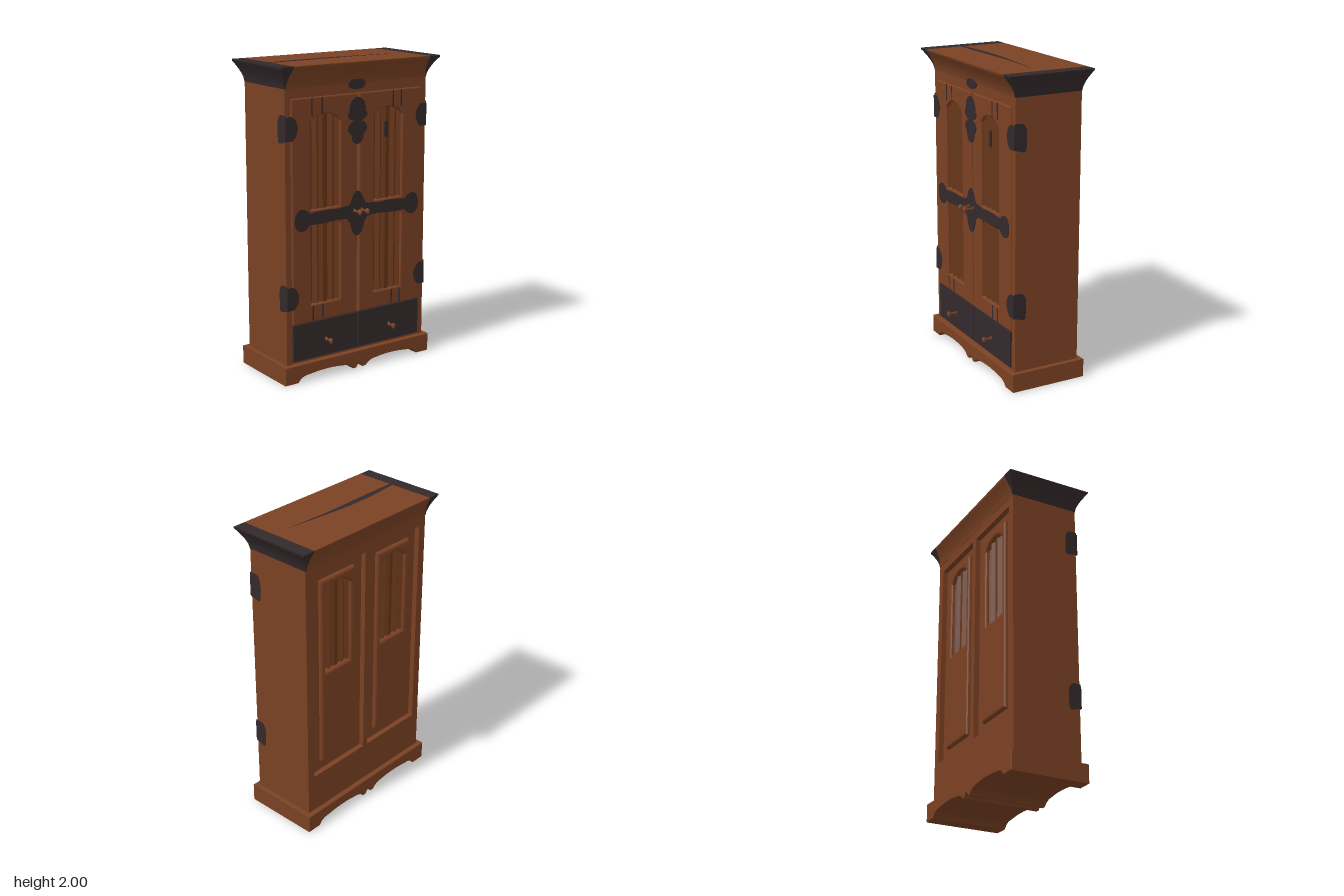
import * as THREE from 'three';

const mat = (name, color) => {
  const m = new THREE.MeshStandardMaterial({ color });
  m.name = name;
  return m;
};

export function createModel() {
  const wood = mat('brown wood', 0x7a4123);
  const iron = mat('dark iron', 0x33292b);
  const slat = mat('shaded wood', 0x683619);
  slat.side = THREE.DoubleSide;
  const model = new THREE.Group();

  const add = (name, geo, material, x = 0, y = 0, z = 0) => {
    const m = new THREE.Mesh(geo, material);
    m.name = name;
    m.position.set(x, y, z);
    model.add(m);
    return m;
  };
  // box given by its limits
  const box = (name, x0, x1, y0, y1, z0, z1, material = wood) =>
    add(name, new THREE.BoxGeometry(x1 - x0, y1 - y0, z1 - z0), material,
      (x0 + x1) / 2, (y0 + y1) / 2, (z0 + z1) / 2);
  // outline extruded between two z values, with an optional rounded edge
  const slab = (name, shape, z0, z1, material = wood, bevel = 0) =>
    add(name, new THREE.ExtrudeGeometry(shape, {
      depth: z1 - z0 - 2 * bevel, bevelEnabled: bevel > 0, bevelThickness: bevel,
      bevelSize: bevel, bevelOffset: -bevel, bevelSegments: 3, curveSegments: 16,
    }), material, 0, 0, z0 + bevel);
  const polygon = pts => new THREE.Shape(pts.map(p => new THREE.Vector2(...p)));
  const rect = (x0, x1, y0, y1) => polygon([[x0, y0], [x1, y0], [x1, y1], [x0, y1]]);
  const ellipse = (x, y, rx, ry) => new THREE.Shape().absellipse(x, y, rx, ry, 0, Math.PI * 2);

  // plinth with a scalloped lower edge
  const base = new THREE.Shape();
  base.moveTo(0.572, 0.12);
  base.lineTo(-0.572, 0.12);
  base.lineTo(-0.572, 0);
  base.lineTo(-0.475, 0);
  base.bezierCurveTo(-0.45, 0.035, -0.43, 0.04, -0.38, 0.042);
  base.bezierCurveTo(-0.3, 0.054, -0.2, 0.054, -0.14, 0.043);
  base.bezierCurveTo(-0.1, 0.042, -0.07, 0.03, -0.05, 0.004);
  base.lineTo(-0.025, 0.004);
  base.quadraticCurveTo(-0.012, 0.032, 0, 0.032);
  base.quadraticCurveTo(0.012, 0.032, 0.025, 0.004);
  base.lineTo(0.05, 0.004);
  base.bezierCurveTo(0.07, 0.03, 0.1, 0.042, 0.14, 0.043);
  base.bezierCurveTo(0.2, 0.054, 0.3, 0.054, 0.38, 0.042);
  base.bezierCurveTo(0.43, 0.04, 0.45, 0.035, 0.475, 0);
  base.lineTo(0.572, 0);
  slab('plinth', base, -0.284, 0.237, wood, 0.006);

  // carcass
  box('lowerCase', -0.535, 0.535, 0.11, 0.38, -0.25, 0.2);
  box('topBoard', -0.535, 0.535, 1.8, 1.87, -0.25, 0.205);
  box('backPost', -0.02, 0.02, 0.38, 1.8, -0.25, -0.19);
  for (const s of [-1, 1]) {
    const side = box('sideWall', 0.5, 0.54, 0.11, 1.87, -0.25, 0.205);
    side.position.x *= s;
    const stile = box('backStile', 0.485, 0.505, 0.38, 1.8, -0.25, -0.19);
    stile.position.x *= s;
  }

  // crown: flaring cross-sections, with iron-clad ends
  const rings = [0, 0.2, 0.4, 0.6, 0.8, 0.93, 1].map(t => {
    const f = t < 0.93 ? Math.pow(t / 0.93, 1.6) : 1;
    const w = 0.54 + 0.06 * f, zf = 0.207 + 0.068 * f, zb = -0.252 - 0.048 * f;
    const x = 0.535 - 0.02 * t, y = 1.86 + 0.14 * t;
    return [[w, zf], [x, zf], [-x, zf], [-w, zf], [-w, zb], [-x, zb], [x, zb], [w, zb]]
      .map(p => [p[0], y, p[1]]);
  });
  const sheet = (name, rows, material) => {
    const g = new THREE.BufferGeometry(), idx = [];
    g.setAttribute('position', new THREE.Float32BufferAttribute(rows.flat(2), 3));
    for (let i = 0; i < rows.length - 1; i++) {
      const a = 2 * i;
      idx.push(a, a + 1, a + 2, a + 1, a + 3, a + 2);
    }
    g.setIndex(idx);
    g.computeVertexNormals();
    add(name, g, material);
  };
  for (let i = 0; i < 8; i++) {
    const j = (i + 1) % 8;
    sheet('crownSide', rings.map(r => [r[j], r[i]]), i === 1 || i === 5 ? wood : iron);
  }
  const top = rings[rings.length - 1], low = rings[0];
  [[0, 7, 1, 6, iron], [1, 6, 2, 5, wood], [2, 5, 3, 4, iron]].forEach(([a, b, c, d, m]) =>
    sheet('crownTop', [[top[a], top[b]], [top[c], top[d]]], m));
  sheet('crownUnderside', [[low[7], low[0]], [low[4], low[3]]], wood);
  const streak = slab('topStreak', polygon([[-0.52, -0.025], [-0.3, -0.023], [0.1, -0.012],
    [0.4, -0.025], [0.1, 0.005], [-0.1, 0.02], [-0.25, 0.018], [-0.52, 0]]), 0, 0.002, iron);
  streak.rotation.x = -Math.PI / 2;
  streak.position.y = 1.999;

  // cut an arched upper and a square lower opening into a shape
  const cutOpenings = (shape, c) => {
    const w = 0.11;
    const up = new THREE.Path();
    up.moveTo(c - w, 1.1);
    up.lineTo(c + w, 1.1);
    up.lineTo(c + w, 1.64);
    up.bezierCurveTo(c + w * 0.6, 1.71, c - w * 0.6, 1.71, c - w, 1.64);
    up.closePath();
    const down = new THREE.Path();
    down.moveTo(c - w, 0.49);
    down.lineTo(c + w, 0.49);
    down.lineTo(c + w, 0.98);
    down.quadraticCurveTo(c + w, 1.01, c + w - 0.03, 1.01);
    down.lineTo(c - w + 0.03, 1.01);
    down.quadraticCurveTo(c - w, 1.01, c - w, 0.98);
    down.closePath();
    shape.holes.push(up, down);
    return shape;
  };
  // pleated infill behind the openings
  const pleats = (name, c, z) => {
    const g = new THREE.PlaneGeometry(0.26, 1.25, 11, 1).toNonIndexed();
    const p = g.attributes.position;
    const depth = [0, 0.7, 0.2, 1, 0.3, 0.8, 0.75, 0.1, 0.9, 0.3, 1, 0];
    for (let i = 0; i < p.count; i++) {
      const k = Math.round((p.getX(i) / 0.26 + 0.5) * 11);
      p.setZ(i, 0.03 * depth[k]);
    }
    g.computeVertexNormals();
    const m = add(name, g, slat, c, 1.09, z);
    if (z < 0) m.rotation.y = Math.PI;
  };

  // oval knob with a flange, pointing forward
  const knob = (x, y, length) => {
    const pts = [[0.014, 0], [0.014, 0.008], [0.008, 0.014], [0.008, length * 0.6],
      [0.018, length * 0.7], [0.021, length * 0.82], [0.015, length * 0.95], [0, length]];
    const g = new THREE.LatheGeometry(pts.map(p => new THREE.Vector2(...p)), 14);
    add('knob', g.rotateX(Math.PI / 2).scale(0.6, 1, 1), wood, x, y, 0.213);
  };

  for (const s of [-1, 1]) {
    // front door and its pleats
    const c = s < 0 ? -0.25 : 0.235;
    const [x0, x1] = [0.006 * s, 0.5 * s].sort((a, b) => a - b);
    slab('door', cutOpenings(rect(x0, x1, 0.38, 1.8), c), 0.17, 0.215, wood, 0.01);
    pleats('doorPleats', c, 0.175);

    // recessed back panel with a raised surround
    const b = s < 0 ? -0.258 : 0.25;
    slab('backPanel', cutOpenings(rect(x0, x1, 0.38, 1.8), b), -0.215, -0.18);
    slab('backSurround', cutOpenings(rect(b - 0.15, b + 0.15, 0.45, 1.74), b),
      -0.24, -0.19, wood, 0.02);
    pleats('backPleats', b, -0.195);

    const mid = s * 0.25;
    box('drawer', mid - 0.246, mid + 0.246, 0.138, 0.376, 0.19, 0.215, iron);
    knob(mid, 0.245, 0.07);
    knob(s * 0.029 - 0.006, 1.055, 0.085);

    // narrow grooves above and below the openings
    for (const x of s < 0 ? [-0.35, -0.275] : [0.27, 0.335])
      for (const [g0, g1] of [[1.69, 1.795], [0.385, 0.48]])
        box('groove', x - 0.005, x + 0.005, g0, g1, 0.212, 0.2165, iron);

    // corner hinge plates wrapping from front to side
    for (const y of [1.615, 0.55]) {
      const h = 0.088;
      const front = new THREE.Shape();
      front.moveTo(s * 0.541, y - h * 0.8);
      front.lineTo(s * 0.541, y + h * 0.85);
      front.lineTo(s * 0.5, y + h * 0.9);
      front.bezierCurveTo(s * 0.46, y + h * 0.7, s * 0.425, y - h * 0.1, s * 0.49, y - h * 0.8);
      slab('hingeFront', front, 0.21, 0.217, iron);
      const side = new THREE.Shape();
      side.moveTo(-0.212, y - h * 0.8);
      side.lineTo(-0.15, y - h);
      side.quadraticCurveTo(-0.13, y - h, -0.13, y - h * 0.6);
      side.lineTo(-0.13, y + h * 0.5);
      side.quadraticCurveTo(-0.14, y + h, -0.17, y + h);
      side.lineTo(-0.212, y + h);
      const plate = slab('hingeSide', side, 0, 0.004, iron);
      plate.rotation.y = Math.PI / 2;
      plate.position.set(s > 0 ? 0.538 : -0.542, 0, 0);
    }

    // strap with a spade end
    const strap = new THREE.Shape();
    strap.moveTo(0, 1.0);
    strap.lineTo(s * 0.16, 1.015);
    strap.quadraticCurveTo(s * 0.27, 1.0, s * 0.37, 1.01);
    strap.bezierCurveTo(s * 0.41, 0.95, s * 0.485, 0.97, s * 0.482, 1.045);
    strap.bezierCurveTo(s * 0.48, 1.13, s * 0.41, 1.13, s * 0.37, 1.08);
    strap.quadraticCurveTo(s * 0.27, 1.095, s * 0.16, 1.085);
    strap.lineTo(0, 1.1);
    slab('strap', strap, 0.212, 0.219, iron);
  }
  box('paneMark', 0.212, 0.238, 1.5, 1.6, 0.2, 0.206, iron);

  // iron escutcheons along the meeting edge
  slab('lockPlate', ellipse(-0.01, 1.035, 0.06, 0.145), 0.212, 0.22, iron);
  slab('lockPlateWide', ellipse(-0.01, 1.045, 0.085, 0.085), 0.212, 0.2205, iron);
  slab('upperPlateTop', ellipse(-0.01, 1.7, 0.062, 0.075), 0.212, 0.219, iron);
  slab('upperPlateMiddle', ellipse(-0.01, 1.665, 0.075, 0.04), 0.212, 0.2195, iron);
  slab('upperPlateLow', ellipse(-0.01, 1.58, 0.072, 0.05), 0.212, 0.219, iron);
  slab('upperPlateTip', ellipse(-0.01, 1.53, 0.045, 0.05), 0.212, 0.2195, iron);
  slab('headerPlate', ellipse(-0.01, 1.855, 0.065, 0.034), 0.204, 0.212, iron);
  return model;
}
